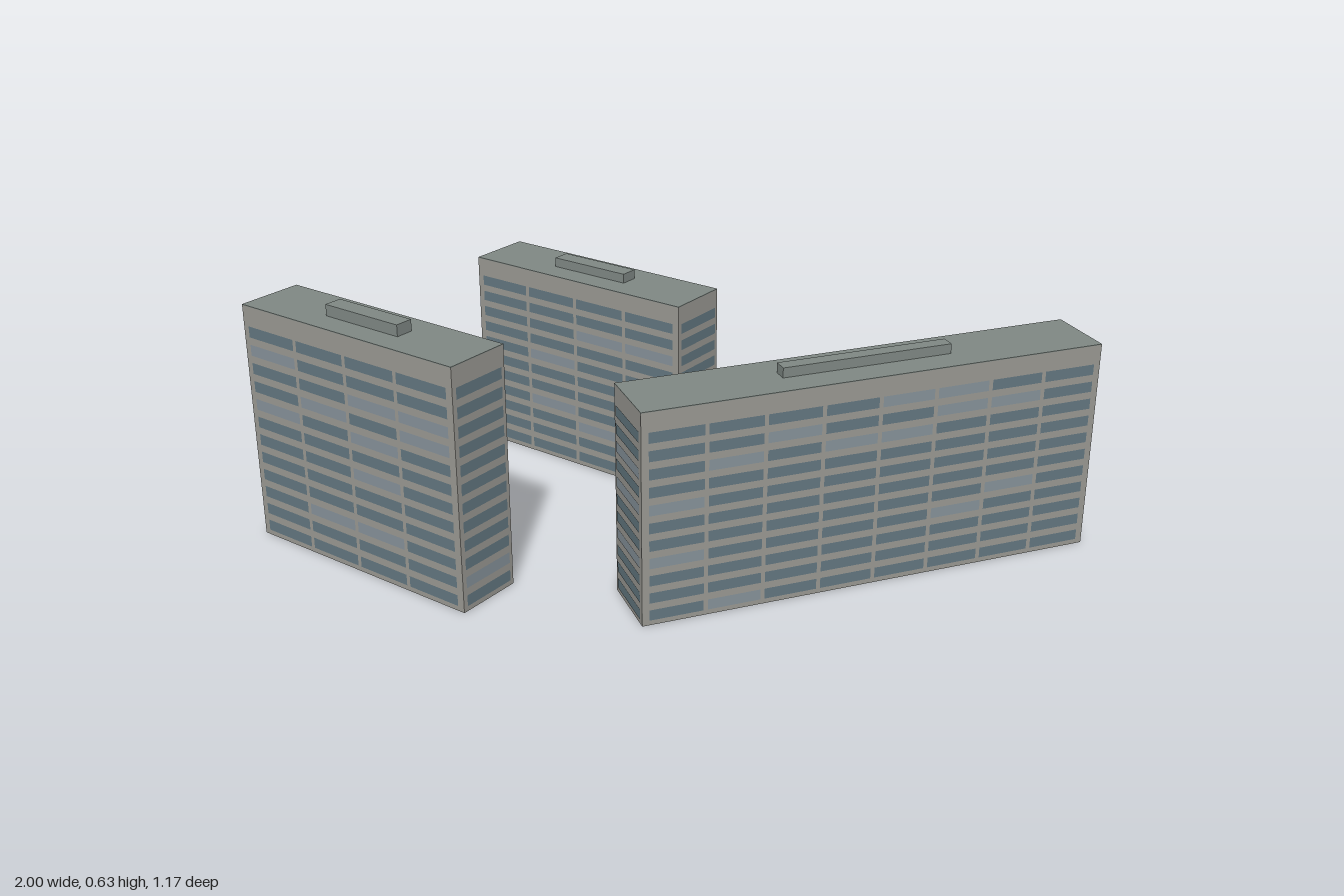
import * as THREE from 'three';
import { mergeGeometries } from 'three/addons/utils/BufferGeometryUtils.js';

const mat = (color) => new THREE.MeshStandardMaterial({ color });
const wallMat = mat(0x9a9993);
const roofMat = mat(0x7f8884);
const glassMat = mat(0x637780);
const paleMat = mat(0x86929a);

function seeded(seed) {
  let s = seed;
  return () => (s = (s * 16807) % 2147483647) / 2147483647;
}

function box(name, w, h, d, y, material) {
  const mesh = new THREE.Mesh(new THREE.BoxGeometry(w, h, d), material);
  mesh.position.y = y + h / 2;
  mesh.name = name;
  return mesh;
}

function createBlock({ name, x, z, turn, length, depth, height, rows, columns, hut, seed }) {
  const block = new THREE.Group();
  block.name = name;
  const slab = 0.002;

  // Body, roof surface and rooftop plant room
  block.add(box('walls', length, height - slab, depth, 0, wallMat));
  block.add(box('roof', length, slab, depth, height - slab, roofMat));
  block.add(box('plantRoom', hut[0], hut[1], hut[2], height, roofMat));

  // Window bands: one blank storey is left under the roof
  const rand = seeded(seed);
  const storey = height / (rows + 1);
  const glass = [];
  const pale = [];
  const addFace = (faceWidth, offset, angle, count, margin, gap) => {
    const pitch = (faceWidth - 2 * margin) / count;
    for (let r = 0; r < rows; r++) {
      for (let c = 0; c < count; c++) {
        const pane = new THREE.PlaneGeometry(pitch - gap, storey * 0.6);
        pane.translate(-faceWidth / 2 + margin + pitch * (c + 0.5), storey * (r + 0.59), offset + 0.0015);
        pane.rotateY(angle);
        (rand() < 0.15 ? pale : glass).push(pane);
      }
    }
  };
  for (const side of [0, 1]) {
    addFace(length, depth / 2, side * Math.PI, columns, 0.012, 0.01);
    addFace(depth, length / 2, Math.PI / 2 + side * Math.PI, 1, 0.011, 0);
  }
  for (const [label, panes, material] of [['windows', glass, glassMat], ['paleWindows', pale, paleMat]]) {
    const mesh = new THREE.Mesh(mergeGeometries(panes), material);
    mesh.name = label;
    block.add(mesh);
  }

  block.position.set(x, 0, z);
  block.rotation.y = THREE.MathUtils.degToRad(turn);
  return block;
}

export function createModel() {
  const model = new THREE.Group();
  model.name = 'apartmentBlocks';
  const short = { turn: -37.1, length: 0.66, depth: 0.168, columns: 4 };
  model.add(
    createBlock({ ...short, name: 'tallBlock', x: -0.686, z: 0.253, height: 0.6, rows: 12, hut: [0.226, 0.028, 0.045], seed: 1234567 }),
    createBlock({ ...short, name: 'rearBlock', x: -0.19, z: -0.323, height: 0.52, rows: 11, hut: [0.226, 0.024, 0.045], seed: 7654321 }),
    createBlock({
      name: 'longBlock', x: 0.435, z: 0.315, turn: 19.3, length: 1.136, depth: 0.174,
      height: 0.52, rows: 11, columns: 8, hut: [0.42, 0.024, 0.034], seed: 2468135,
    }),
  );
  return model;
}
